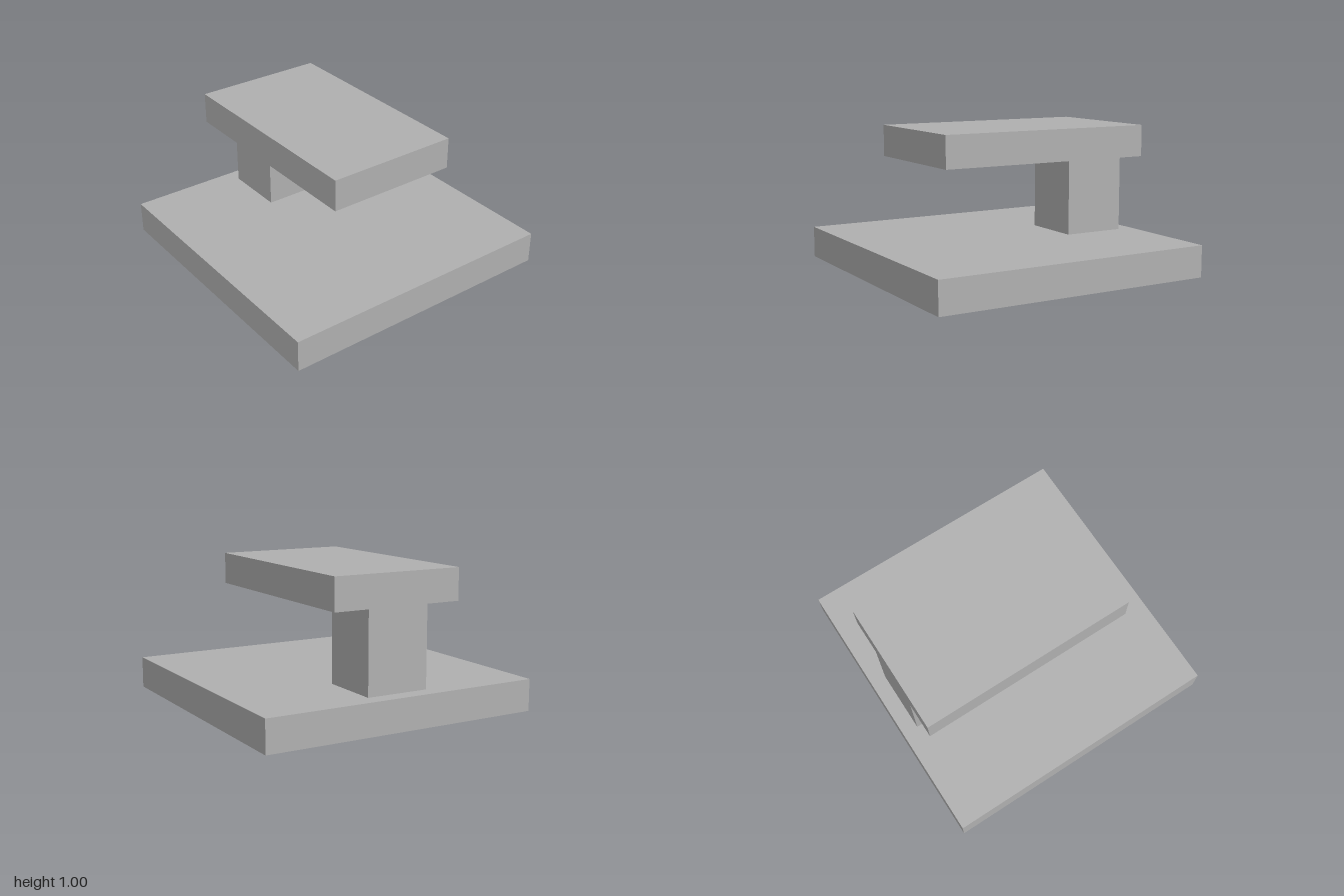
import * as THREE from 'three';

export function createModel() {
  const model = new THREE.Group();
  model.name = 'cantileverBlock';

  const grey = new THREE.MeshStandardMaterial({ color: 0xb2b2b2 });
  grey.name = 'grey';

  // Box given by its extents on x and y, and its full depth centred on z
  const addBlock = (name, x0, x1, y0, y1, depth) => {
    const mesh = new THREE.Mesh(new THREE.BoxGeometry(x1 - x0, y1 - y0, depth), grey);
    mesh.position.set((x0 + x1) / 2, (y0 + y1) / 2, 0);
    mesh.name = name;
    model.add(mesh);
  };

  // Square base plate
  addBlock('base', -1, 1, 0, 0.222, 2);
  // Post standing near the right edge
  addBlock('post', -0.889, -0.444, 0.222, 0.782, 0.444);
  // Overhanging slab, flush with the outer face of the post
  addBlock('topSlab', -0.889, 0.664, 0.782, 1.002, 0.934);

  return model;
}
